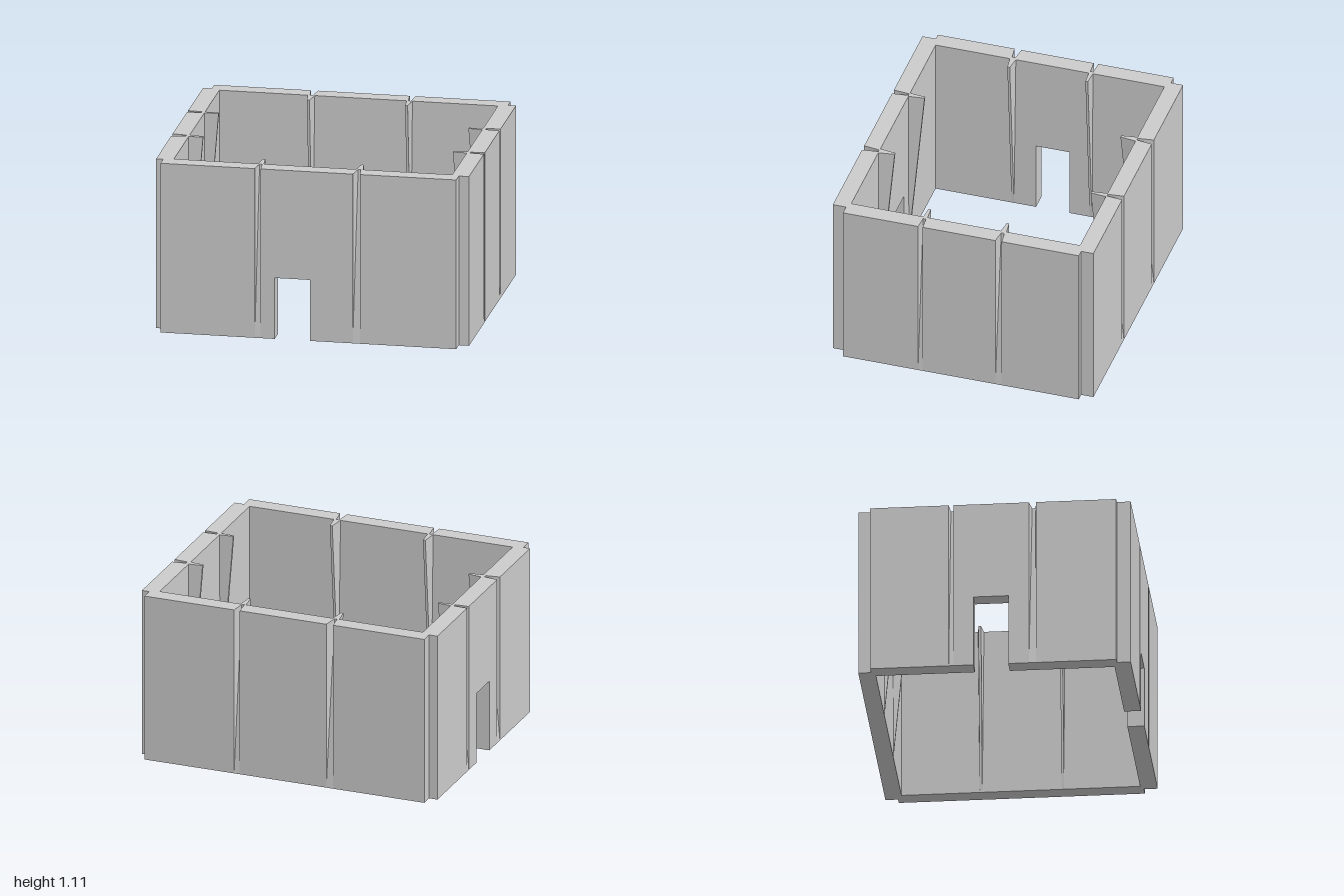
import * as THREE from 'three';

const H = 1.11;          // wall height
const SLOT_IN = 0.016;   // slot and wedge width on the inner face

const material = new THREE.MeshStandardMaterial({ color: 0xcccccc, flatShading: true });

function addMesh(group, geometry, name) {
  geometry.computeVertexNormals();
  const mesh = new THREE.Mesh(geometry, material);
  mesh.name = name;
  group.add(mesh);
}

// Move every vertex by a rule that edits it in place
function reshape(geometry, rule) {
  const pos = geometry.attributes.position;
  const v = new THREE.Vector3();
  for (let i = 0; i < pos.count; i++) {
    rule(v.fromBufferAttribute(pos, i));
    pos.setXYZ(i, v.x, v.y, v.z);
  }
  return geometry;
}

// Wall section between u0 and u1; grow0 / grow1 widen its ends on the inner face
function section(u0, u1, thick, grow0, grow1, door) {
  const shape = new THREE.Shape();
  shape.moveTo(u0, 0);
  if (door) {
    shape.lineTo(door.from, 0);
    shape.lineTo(door.from, door.height);
    shape.lineTo(door.to, door.height);
    shape.lineTo(door.to, 0);
  }
  shape.lineTo(u1, 0);
  shape.lineTo(u1, H);
  shape.lineTo(u0, H);
  const geometry = new THREE.ExtrudeGeometry(shape, { depth: thick, bevelEnabled: false });
  geometry.translate(0, 0, -thick);
  return reshape(geometry, (p) => {
    if (p.z > -thick / 2) return;
    if (Math.abs(p.x - u0) < 1e-4) p.x -= grow0;
    else if (Math.abs(p.x - u1) < 1e-4) p.x += grow1;
  });
}

// Tapered wedge filling a slot, flush at the foot and leaning inward at the top
function wedge(u, width, thick, lean) {
  const geometry = new THREE.BoxGeometry(1, H, thick).translate(0, H / 2, -thick / 2);
  return reshape(geometry, (p) => {
    p.x = u + p.x * (p.z > -thick / 2 ? width : SLOT_IN);
    p.z -= lean * p.y / H;
  });
}

// Wall in its own frame: outer face on z = 0 looking to +z, running along x
function createWall({ name, from, to, thick, lean, slots, door }) {
  const wall = new THREE.Group();
  wall.name = name;
  const grow = slots.map(([, w]) => (w - SLOT_IN) / 2);
  const [[a, wa], [b, wb]] = slots;
  addMesh(wall, section(from, a - wa / 2, thick, 0, grow[0]), 'wallSection');
  addMesh(wall, section(a + wa / 2, b - wb / 2, thick, grow[0], grow[1], door), 'middleWallSection');
  addMesh(wall, section(b + wb / 2, to, thick, grow[1], 0), 'wallSection');
  for (const [u, w] of slots) addMesh(wall, wedge(u, w, thick, lean), 'leaningWedge');
  return wall;
}

export function createModel() {
  const model = new THREE.Group();
  model.name = 'walledEnclosure';

  // Each slot is [position along the wall, outer width]
  const walls = [
    { name: 'frontWall', from: -0.955, to: 0.935, thick: 0.107, lean: 0.103, turn: 0, offset: 0.857,
      slots: [[-0.333, 0.038], [0.297, 0.046]], door: { from: -0.225, to: 0, height: 0.4 } },
    { name: 'backWall', from: -0.95, to: 0.943, thick: 0.107, lean: 0.103, turn: Math.PI, offset: 0.86,
      slots: [[-0.325, 0.038], [0.303, 0.046]] },
    { name: 'leftWall', from: -0.77, to: 0.78, thick: 0.11, lean: 0.09, turn: Math.PI / 2, offset: 1,
      slots: [[-0.262, 0.03], [0.252, 0.042]] },
    { name: 'rightWall', from: -0.78, to: 0.77, thick: 0.11, lean: 0.09, turn: -Math.PI / 2, offset: 1,
      slots: [[-0.27, 0.03], [0.243, 0.045]], door: { from: -0.13, to: 0.09, height: 0.47 } },
  ];

  for (const spec of walls) {
    const wall = createWall(spec);
    wall.rotation.y = spec.turn;
    wall.position.set(Math.sin(spec.turn) * spec.offset, 0, Math.cos(spec.turn) * spec.offset);
    model.add(wall);
  }
  return model;
}
